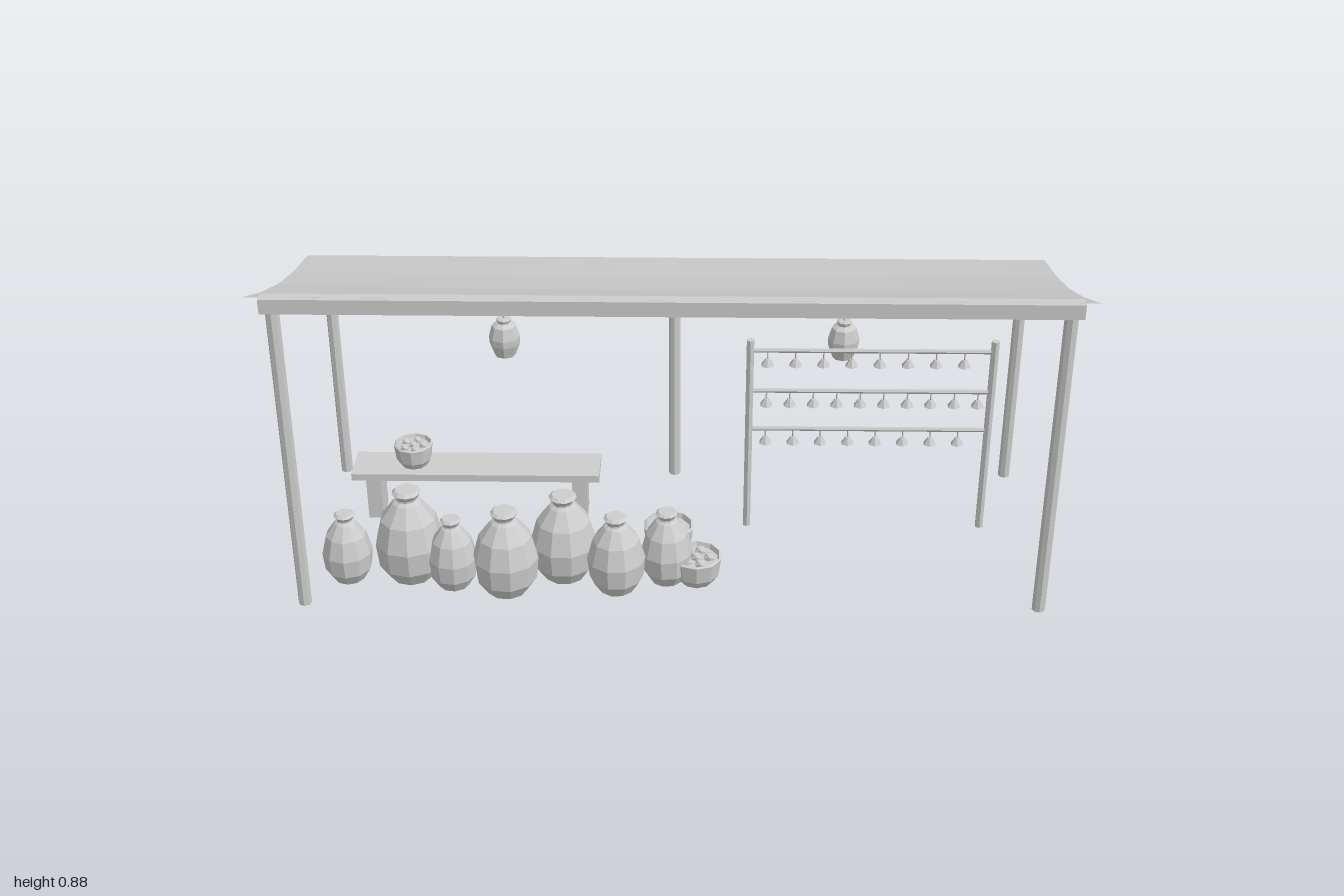
import * as THREE from 'three';

export function createModel() {
  const root = new THREE.Group();
  root.name = 'marketStall';
  const grey = new THREE.MeshStandardMaterial({ color: 0xcccccc, flatShading: true, side: THREE.DoubleSide });
  grey.name = 'plainGrey';

  const add = (parent, name, geo, x = 0, y = 0, z = 0) => {
    const m = new THREE.Mesh(geo, grey);
    m.name = name;
    m.position.set(x, y, z);
    parent.add(m);
    return m;
  };
  const group = (name, x = 0, y = 0, z = 0) => {
    const g = new THREE.Group();
    g.name = name;
    g.position.set(x, y, z);
    root.add(g);
    return g;
  };
  // upright round pole standing on height y0
  const pole = (parent, name, x, y0, y1, z, r, sides = 8) =>
    add(parent, name, new THREE.CylinderGeometry(r, r, y1 - y0, sides), x, (y0 + y1) / 2, z);
  // faceted turned body from [radius, height] pairs scaled to size
  const turned = (profile, r, h, sides) =>
    new THREE.LatheGeometry(profile.map(([a, b]) => new THREE.Vector2(a * r, b * h)), sides);

  // Cloth awning: falls to the back and sags between its ends
  const awning = new THREE.PlaneGeometry(2, 1, 8, 4);
  const zs = [-0.36, -0.18, -0.003, 0.175, 0.355];
  const ys = [0.65, 0.688, 0.738, 0.802, 0.877];
  const p = awning.attributes.position;
  for (let i = 0; i < p.count; i++) {
    const row = Math.floor(i / 9), x = p.getX(i);
    const sag = 0.013 * Math.sin(Math.PI * row / 4) * Math.cos(Math.PI * x / 2);
    p.setXYZ(i, x, ys[row] - sag, zs[row]);
  }
  awning.computeVertexNormals();
  add(root, 'awning', awning);

  // Frame
  const frame = group('frame');
  add(frame, 'frontBeam', new THREE.BoxGeometry(1.93, 0.038, 0.034), 0, 0.854, 0.342);
  add(frame, 'backBeam', new THREE.BoxGeometry(1.93, 0.038, 0.033), 0, 0.629, -0.307);
  for (const x of [-0.937, 0.937]) pole(frame, 'frontPost', x, 0, 0.836, 0.342, 0.017);
  for (const x of [-0.937, 0, 0.937]) pole(frame, 'backPost', x, 0, 0.612, -0.307, 0.016);

  // Bench
  const bench = group('bench', -0.535, 0, -0.098);
  add(bench, 'benchSeat', new THREE.BoxGeometry(0.67, 0.02, 0.118), 0, 0.14, 0);
  for (const s of [-1, 1]) add(bench, 'benchLeg', new THREE.BoxGeometry(0.04, 0.13, 0.083), s * 0.28, 0.065, 0);

  // Row of storage jars: x, z, radius, height
  const jarProfile = [[0, 0], [0.62, 0], [0.93, 0.17], [1, 0.42], [0.8, 0.68], [0.42, 0.86],
    [0.3, 0.89], [0.3, 0.91], [0.42, 0.97], [0.32, 1], [0, 1]];
  const jars = [
    [-0.842, 0.223, 0.065, 0.196], [-0.68, 0.208, 0.09, 0.26], [-0.565, 0.25, 0.064, 0.2],
    [-0.425, 0.27, 0.085, 0.239], [-0.28, 0.2, 0.087, 0.244], [-0.142, 0.26, 0.075, 0.218],
    [-0.013, 0.218, 0.068, 0.207],
  ];
  jars.forEach(([x, z, r, h], i) => {
    add(root, 'jar', turned(jarProfile, r, h, 10), x, 0, z).rotation.y = i * 0.7;
  });

  // Bowls filled with round goods: x, y, z, radius, height
  const bowlProfile = [[0, 0], [0.66, 0], [0.9, 0.3], [1, 0.92], [0.92, 0.96], [0.85, 0.8], [0, 0.8]];
  const bowls = [[0.065, 0, 0.222, 0.066, 0.08], [-0.01, 0, 0.088, 0.068, 0.086], [-0.706, 0.15, -0.1, 0.053, 0.068]];
  for (const [x, y, z, r, h] of bowls) {
    const bowl = group('filledBowl', x, y, z);
    add(bowl, 'bowl', turned(bowlProfile, r, h, 10));
    for (let i = 0; i < 6; i++) {
      const a = i * Math.PI * 2 / 5, d = i < 5 ? r * 0.5 : 0;
      add(bowl, 'goods', new THREE.IcosahedronGeometry(r * 0.24, 0), Math.cos(a) * d, h * 0.84, Math.sin(a) * d);
    }
  }

  // Lanterns hanging from the back beam
  const lanternProfile = [[0, 0], [0.68, 0], [0.97, 0.32], [1, 0.5], [0.78, 0.8],
    [0.42, 0.88], [0.5, 0.97], [0.4, 1], [0, 1]];
  for (const x of [-0.468, 0.463]) {
    const lantern = group('hangingLantern', x, 0, -0.307);
    add(lantern, 'lanternBody', turned(lanternProfile, 0.043, 0.112, 8), 0, 0.379, 0);
    pole(lantern, 'lanternCord', 0, 0.485, 0.615, 0, 0.003, 5);
  }

  // Rack with three rails of small bells
  const rack = group('bellRack', 0, 0, -0.041);
  for (const x of [0.2, 0.833]) pole(rack, 'rackPost', x, 0, 0.568, 0, 0.011, 6);
  for (const [y, count, end] of [[0.537, 8, 0.757], [0.418, 10, 0.8], [0.303, 8, 0.755]]) {
    const rail = add(rack, 'rackRail', new THREE.CylinderGeometry(0.006, 0.006, 0.633, 6), 0.5165, y, 0);
    rail.rotation.z = Math.PI / 2;
    for (let i = 0; i < count; i++) {
      const x = 0.245 + (end - 0.245) * i / (count - 1);
      add(rack, 'bell', new THREE.CylinderGeometry(0.006, 0.018, 0.019, 6), x, y - 0.034, 0);
      add(rack, 'bellClapper', new THREE.OctahedronGeometry(0.005, 0), x, y - 0.045, 0);
      pole(rack, 'bellCord', x, y - 0.026, y, 0, 0.002, 4);
    }
  }
  return root;
}
